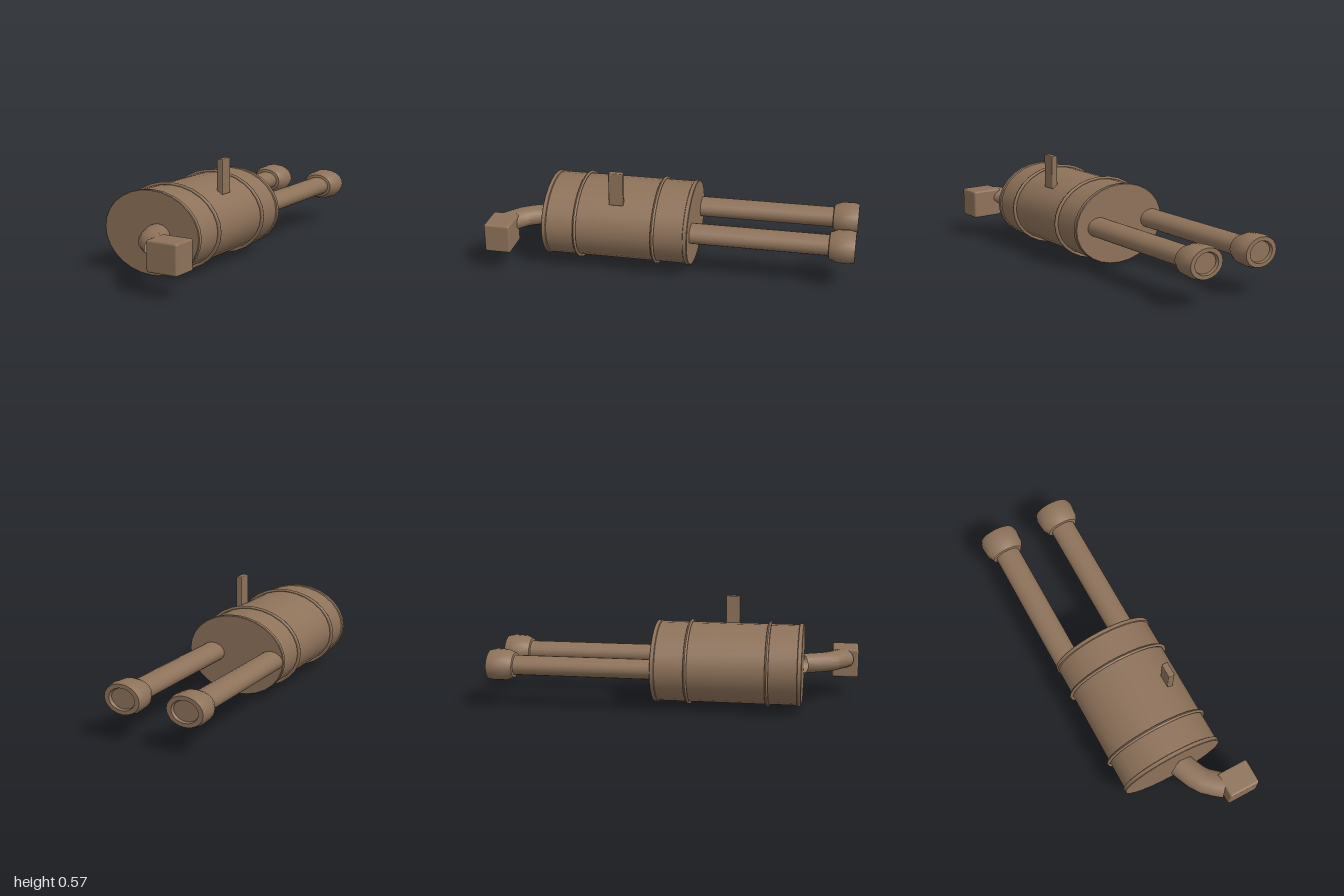
import * as THREE from 'three';
import { toCreasedNormals } from 'three/addons/utils/BufferGeometryUtils.js';
import { RoundedBoxGeometry } from 'three/addons/geometries/RoundedBoxGeometry.js';

const CY = 0.236; // height of the main axis

export function createModel() {
  const group = new THREE.Group();
  const metal = new THREE.MeshStandardMaterial({ color: 0x8e725a, side: THREE.DoubleSide });
  metal.name = 'brownMetal';

  const add = (name, geometry, x, y, z) => {
    const mesh = new THREE.Mesh(geometry, metal);
    mesh.name = name;
    mesh.position.set(x, y, z);
    group.add(mesh);
    return mesh;
  };

  // Turned shape along z, from [radius, z] points, flattened in height
  const turned = (profile, sides, flatten) => {
    const g = new THREE.LatheGeometry(profile.map(([r, z]) => new THREE.Vector2(r, z)), sides);
    g.rotateX(Math.PI / 2);
    g.scale(1, flatten, 1);
    return toCreasedNormals(g, 0.6);
  };

  // Oval canister with a thin lip at each end
  add('canister', turned([
    [0, -0.11], [0.287, -0.11], [0.291, -0.107], [0.291, -0.088], [0.284, -0.085],
    [0.284, 0.672], [0.291, 0.675], [0.291, 0.694], [0.287, 0.697], [0, 0.697],
  ], 28, 0.765), -0.016, CY, 0);

  // Raised bands around the canister
  for (const z of [0.08, 0.512]) {
    const band = new THREE.TorusGeometry(0.293, 0.01, 8, 28);
    band.rotateZ(Math.PI / 2);
    band.scale(1, 0.765, 1);
    band.computeVertexNormals();
    add('band', band, -0.016, CY, z);
  }

  // Twin tailpipes with bulbous, slightly recessed tips
  for (const x of [-0.232, 0.127]) {
    add('tailpipe', turned([[0.071, -0.9], [0.071, -0.1]], 20, 0.75), x, CY, 0);
    add('tailpipeTip', turned([
      [0, -0.985], [0.07, -0.985], [0.076, -1], [0.103, -1], [0.113, -0.965],
      [0.108, -0.9], [0.088, -0.862], [0.06, -0.857],
    ], 20, 0.765), x, CY, 0);
  }

  // Bent inlet pipe
  const path = new THREE.CatmullRomCurve3([
    new THREE.Vector3(0.024, 0, 0.695),
    new THREE.Vector3(0.088, 0, 0.835),
    new THREE.Vector3(0.185, 0, 0.92),
  ]);
  const inlet = new THREE.TubeGeometry(path, 5, 0.07, 14);
  inlet.scale(1, 0.76, 1);
  add('inletPipe', toCreasedNormals(inlet, 0.6), 0, CY, 0);

  // Inlet block
  add('inletBlock', new RoundedBoxGeometry(0.178, 0.161, 0.145, 2, 0.012), 0.256, 0.2075, 0.9275);

  // Upright mounting tab
  add('mountingTab', new RoundedBoxGeometry(0.035, 0.187, 0.08, 2, 0.005), 0.1655, 0.4835, 0.295);

  return group;
}
